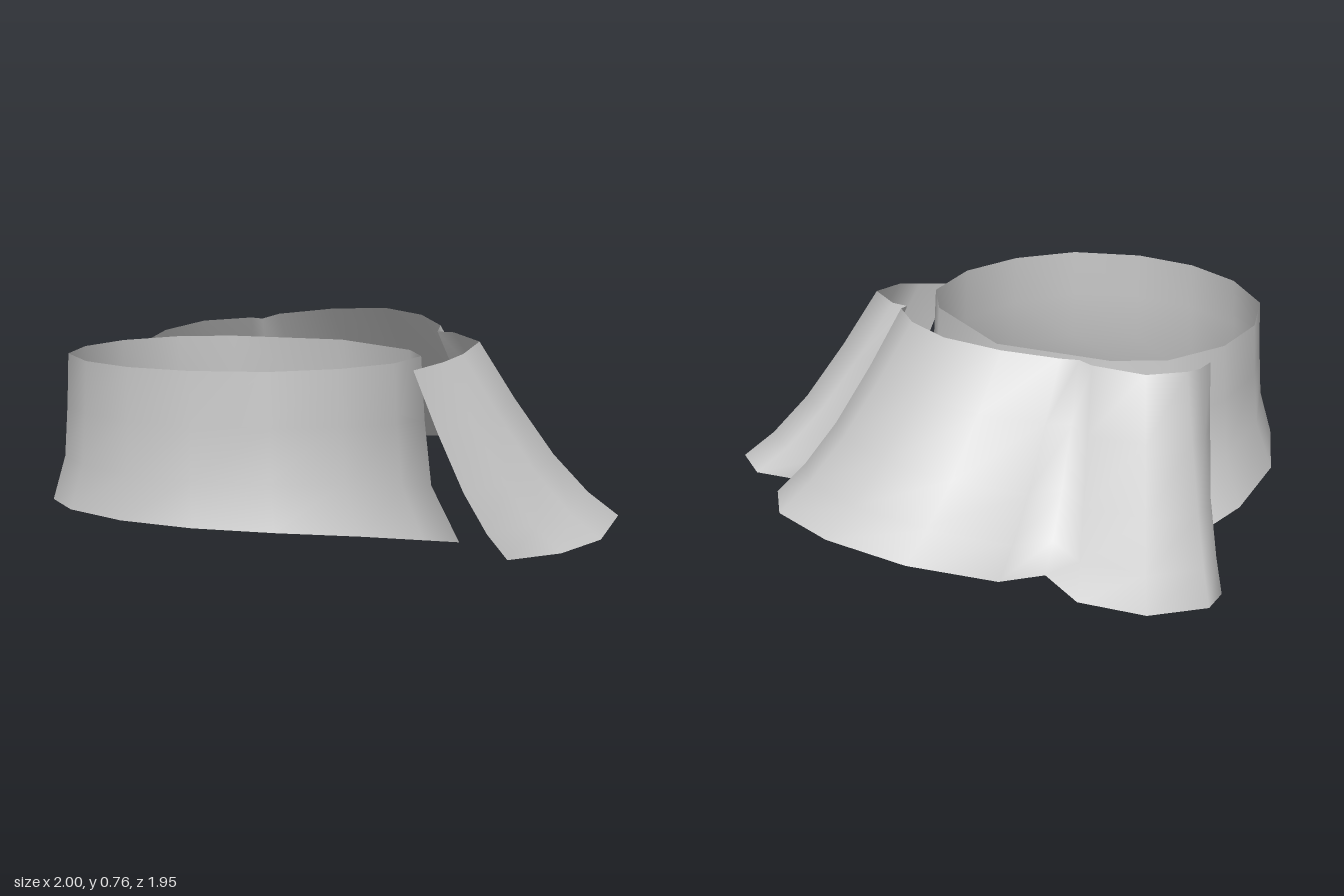
import * as THREE from 'three';

// Adds the mirrored right side to a left-side list of [x, y, z] points.
function mirrored(half, closed) {
  const rest = half.slice(closed ? 1 : 0, -1).reverse();
  return [...half, ...rest.map(([x, y, z]) => [-x, y, z])];
}

// Lofts from a top edge to a bottom edge. Each row is [outward, downward] as fractions.
function loft(name, topHalf, bottomHalf, rows, closed) {
  const top = mirrored(topHalf, closed);
  const bottom = mirrored(bottomHalf, closed);
  const n = top.length;
  const positions = [];
  const index = [];
  for (const [out, down] of rows) {
    top.forEach((p, i) => {
      const q = bottom[i];
      positions.push(
        p[0] + (q[0] - p[0]) * out,
        p[1] + (q[1] - p[1]) * down,
        p[2] + (q[2] - p[2]) * out
      );
    });
  }
  for (let r = 0; r < rows.length - 1; r++) {
    for (let i = 0; i < (closed ? n : n - 1); i++) {
      const j = (i + 1) % n;
      const a = r * n + i, b = r * n + j, c = a + n, d = b + n;
      index.push(a, c, b, b, c, d);
    }
  }
  const geometry = new THREE.BufferGeometry();
  geometry.setAttribute('position', new THREE.Float32BufferAttribute(positions, 3));
  geometry.setIndex(index);
  geometry.computeVertexNormals();
  const mesh = new THREE.Mesh(geometry, new THREE.MeshStandardMaterial({
    color: 0xcccccc, side: THREE.DoubleSide,
  }));
  mesh.name = name;
  return mesh;
}

export function createModel() {
  const model = new THREE.Group();
  model.name = 'collar';

  // Closed neck band, level at the rim and dipping towards the back
  const bandTop = [
    [0, 0.67, 0.93], [0.22, 0.67, 0.89], [0.43, 0.67, 0.76], [0.55, 0.67, 0.56],
    [0.59, 0.67, 0.33], [0.53, 0.67, 0.1], [0.39, 0.67, -0.03], [0, 0.67, -0.16],
  ];
  const bandBottom = [
    [0, 0.19, 0.97], [0.26, 0.19, 0.93], [0.48, 0.18, 0.79], [0.64, 0.155, 0.57],
    [0.695, 0.11, 0.31], [0.66, 0.06, 0.06], [0.39, 0.02, -0.2], [0, 0, -0.31],
  ];
  model.add(loft('neckBand', bandTop, bandBottom,
    [[0, 0], [0.1, 0.35], [0.28, 0.7], [1, 1]], true));

  // Open flared cape: two side lobes and a wide back lobe, pinched between
  const capeTop = [
    [0.6, 0.64, 0.24], [0.64, 0.66, 0.13], [0.655, 0.68, 0.04], [0.61, 0.705, -0.12],
    [0.45, 0.72, -0.2], [0.39, 0.72, -0.19], [0.36, 0.735, -0.25], [0.2, 0.755, -0.36],
    [0, 0.765, -0.415],
  ];
  const capeBottom = [
    [0.81, 0.01, 0], [0.94, 0.03, -0.12], [1, 0.06, -0.27], [0.93, 0.1, -0.5],
    [0.74, 0.125, -0.61], [0.54, 0.12, -0.53], [0.51, 0.16, -0.72], [0.29, 0.215, -0.91],
    [0, 0.235, -0.975],
  ];
  model.add(loft('flaredCape', capeTop, capeBottom,
    [[0, 0], [0.25, 0.32], [0.53, 0.64], [0.78, 0.86], [1, 1]], false));

  return model;
}
